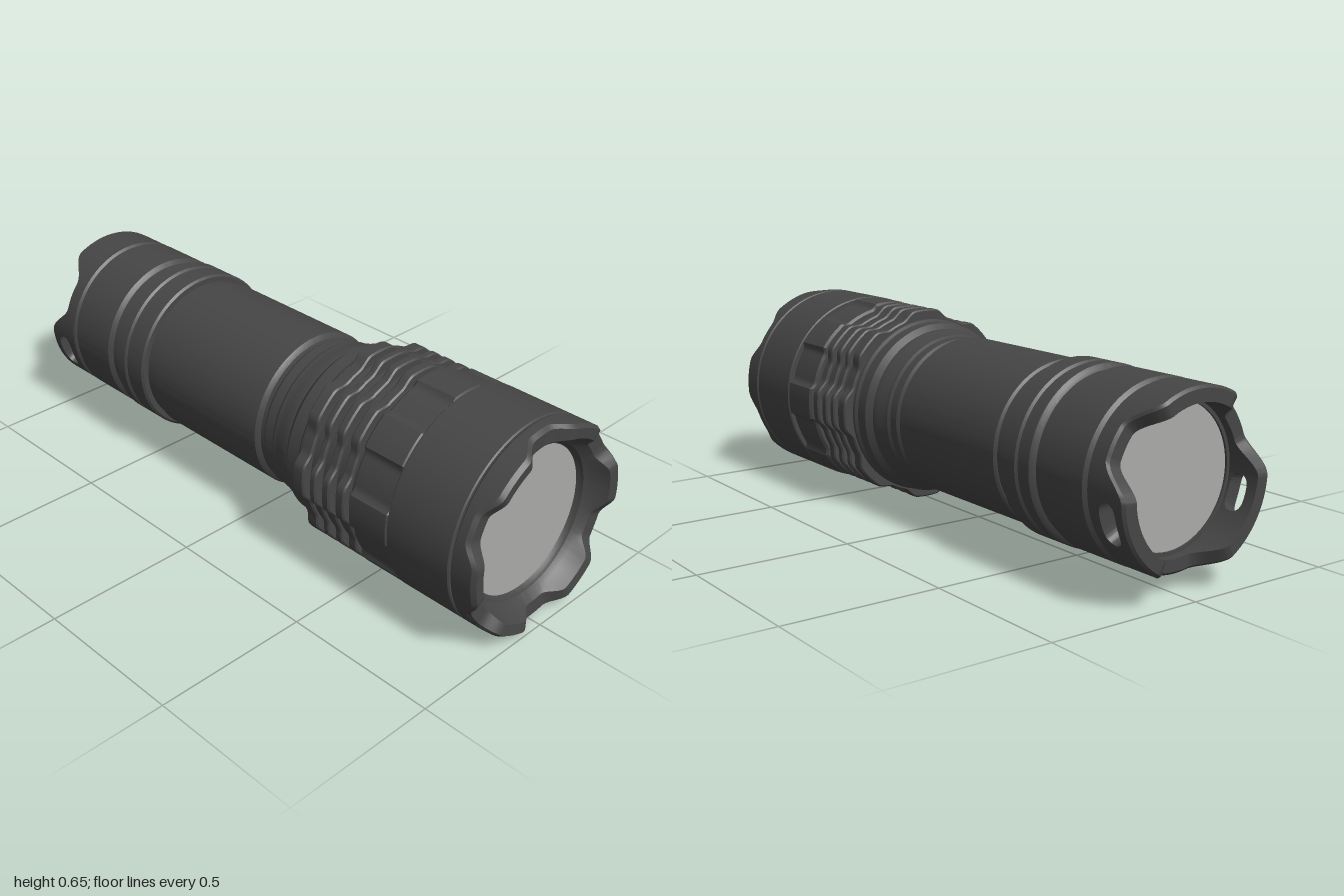
import * as THREE from 'three';
import { mergeGeometries, toCreasedNormals } from 'three/addons/utils/BufferGeometryUtils.js';

const RAD = Math.PI / 180;
const R = 0.327; // largest radius, also the height of the axis

const casing = new THREE.MeshStandardMaterial({ color: 0x464646 });
casing.name = 'dark casing';
const glass = new THREE.MeshStandardMaterial({ color: 0xaaaaa8 });
glass.name = 'pale grey glass';

// Sweeps a cross-section of [radius, z] points around the z axis from a0 to a1 degrees.
function loft(section, a0 = 0, a1 = 360, steps = 192, closed = false) {
  const rings = [];
  for (let i = 0; i <= steps; i++) {
    const deg = a0 + ((a1 - a0) * i) / steps;
    rings.push(section(deg).map(([r, z]) => [r * Math.cos(deg * RAD), r * Math.sin(deg * RAD), z]));
  }
  const pos = [];
  const n = rings[0].length;
  for (let i = 0; i < steps; i++) {
    for (let j = 0; j < (closed ? n : n - 1); j++) {
      const k = (j + 1) % n;
      const a = rings[i][j], b = rings[i + 1][j], c = rings[i + 1][k], d = rings[i][k];
      pos.push(...a, ...b, ...c, ...a, ...c, ...d);
    }
  }
  const geo = new THREE.BufferGeometry();
  geo.setAttribute('position', new THREE.Float32BufferAttribute(pos, 3));
  return geo;
}

// 1 in the middle of evenly spaced notches, 0 between them.
function dip(deg, count, offset, half, flat = 0.35) {
  const step = 360 / count;
  const d = Math.abs(((((deg - offset) % step) + step * 1.5) % step) - step / 2);
  return 1 - THREE.MathUtils.smoothstep(d, flat * half, half);
}

// A ring block from z0 to z1 with bevelled outer edges.
const block = (r, z0, z1, b = 0.007) => [[r - b, z0], [r, z0 + b], [r, z1 - b], [r - b, z1]];

export function createModel() {
  const group = new THREE.Group();
  const axis = new THREE.Group();
  axis.name = 'flashlight';
  axis.position.y = R;
  group.add(axis);

  function add(name, geo, material = casing) {
    const mesh = new THREE.Mesh(geo, material);
    mesh.name = name;
    axis.add(mesh);
  }
  const addLoft = (name, geo) => add(name, toCreasedNormals(geo, 0.5));

  // Tail cap with two grooves
  const tail = [
    [0.19, -0.87], [0.27, -0.87], [0.27, -0.865], [0.262, -0.858], [0.262, -0.848],
    ...block(0.272, -0.845, -0.66),
    [0.258, -0.655], [0.258, -0.625],
    ...block(0.275, -0.62, -0.565),
    [0.269, -0.56],
    ...block(0.275, -0.555, -0.475),
    [0.24, -0.475],
  ];
  addLoft('tailCap', loft(() => tail));

  // Grip tube with its necks
  const grip = [
    [0.25, -0.48], [0.25, -0.435],
    ...block(0.26, -0.435, 0.07),
    [0.245, 0.075], [0.245, 0.09], [0.252, 0.1], [0.252, 0.135],
    [0.258, 0.145], [0.258, 0.165], [0.268, 0.19], [0.268, 0.215],
    [0.285, 0.235], [0.285, 0.28], [0.292, 0.29], [0.292, 0.54],
  ];
  addLoft('gripTube', loft(() => grip));

  // Scalloped cooling fins
  for (const [z0, z1] of [[0.3, 0.345], [0.37, 0.395], [0.42, 0.45], [0.475, 0.51]]) {
    addLoft('coolingFin', loft((a) => {
      const r = R - 0.002 - 0.022 * dip(a, 8, 22.5, 15);
      return [[0.28, z0], ...block(r, z0, z1, 0.005), [0.28, z1]];
    }));
  }

  // Fluted ring of the head
  addLoft('flutedRing', loft((a) => {
    const r = R - 0.001 - 0.014 * dip(a, 8, 22.5, 13, 0.8);
    return [[0.28, 0.527], ...block(r, 0.527, 0.682, 0.008), [0.28, 0.682]];
  }));

  // Smooth head
  const head = [[0.28, 0.68], ...block(R, 0.68, 0.908, 0.004), [0.23, 0.908]];
  addLoft('head', loft(() => head));

  // Front bezel with six scallops
  addLoft('bezel', loft((a) => {
    const cut = dip(a, 6, 35, 20, 0.3);
    const e = 1 - 0.04 * cut;
    return [
      [0.3, 0.913], [0.322, 0.913], [R, 0.918], [R, e - 0.014], [0.318, e],
      [0.285 - 0.012 * cut, e - 0.004], [0.262, 0.945], [0.246, 0.93], [0.244, 0.918], [0.235, 0.905],
    ];
  }));

  // Tail crown: three lobes, the two lower ones pierced by a lanyard slot
  const crownEnd = (a) => -1 + 0.08 * dip(a, 3, 30, 33, 0.3);
  const wall = (zb, zf, c) => [
    [0.225, zb], [0.271 - c, zb], [0.271, zb + c], [0.271, zf], [0.225, zf],
  ];
  const base = -0.868;
  const slotHalf = 14;
  const crown = [];
  for (const mid of [-18, 198]) {
    const a0 = mid - slotHalf, a1 = mid + slotHalf;
    const slot = (a) => 0.032 * Math.sqrt(Math.max(0, 1 - ((a - mid) / slotHalf) ** 4));
    crown.push(loft((a) => wall(crownEnd(a), -0.932 - slot(a), 0.008), a0, a1, 32, true));
    crown.push(loft((a) => wall(-0.932 + slot(a), base, 0), a0, a1, 32, true));
  }
  const solid = (a) => wall(crownEnd(a), base, 0.008);
  crown.push(loft(solid, -18 + slotHalf, 198 - slotHalf, 110, true));
  crown.push(loft(solid, 198 + slotHalf, 342 - slotHalf, 70, true));
  addLoft('tailCrown', mergeGeometries(crown));

  // Front lens and tail disc
  add('lens', new THREE.CircleGeometry(0.236, 96).translate(0, 0, 0.912), glass);
  add('tailDisc', new THREE.CircleGeometry(0.216, 96).rotateY(Math.PI).translate(0, 0, -0.885), glass);
  // Rim between the tail disc and the crown
  const rim = [[0.214, -0.872], [0.214, -0.892], [0.227, -0.892]];
  addLoft('tailRim', mergeGeometries([loft(() => rim), loft(() => [...rim].reverse())]));

  return group;
}
